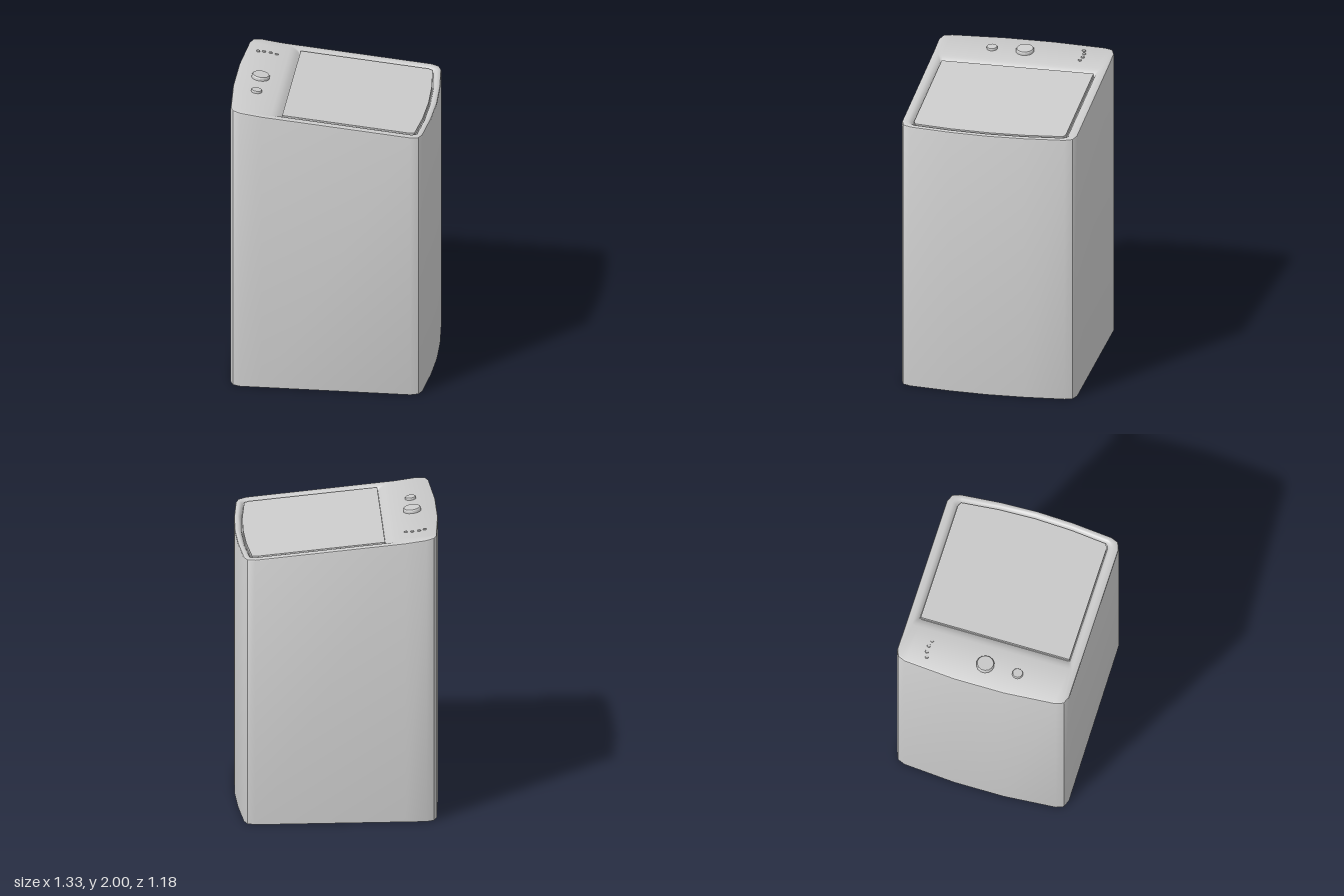
import * as THREE from 'three';
import { toCreasedNormals } from 'three/addons/utils/BufferGeometryUtils.js';

// Height of the sloping top: flat edge, steeper control strip, gentle lid slope
function topY(x) {
  if (x < -0.62) return 1.985;
  if (x < -0.43) return 1.985 - (x + 0.62) * 0.14;
  return 1.958 - (x + 0.43) * 0.097;
}

// Outlines as [x, z], given for the +z half and mirrored to a closed loop
const mirror = half => half.concat(half.slice(1, -1).reverse().map(([x, z]) => [x, -z]));
const outer = mirror([[-0.666, 0], [-0.666, 0.17], [-0.64, 0.52], [-0.62, 0.57], [-0.57, 0.59], [-0.43, 0.59],
  [0.56, 0.59], [0.61, 0.57], [0.63, 0.52], [0.655, 0.25], [0.664, 0]]);
const opening = mirror([[-0.37, 0], [-0.37, 0.17], [-0.37, 0.5], [-0.37, 0.53], [-0.368, 0.545], [-0.36, 0.55],
  [0.56, 0.55], [0.59, 0.535], [0.607, 0.505], [0.631, 0.25], [0.64, 0]]);
const recess = mirror([[-0.305, 0], [-0.305, 0.17], [-0.305, 0.48], [-0.305, 0.505], [-0.304, 0.514], [-0.3, 0.516],
  [0.547, 0.516], [0.567, 0.51], [0.58, 0.5], [0.606, 0.25], [0.614, 0]]);
const lidEdge = mirror([[-0.3, 0], [-0.3, 0.511], [0.545, 0.511], [0.575, 0.497], [0.6, 0.25], [0.609, 0]]);

// Ring of points from an outline; drop is the distance below the sloping top
const ring = (outline, drop, inset = 0) => outline.map(([x, z]) => {
  const px = x * (1 - inset / 0.66), pz = z * (1 - inset / 0.59);
  return [px, topY(x) - drop, pz];
});
const blend = (a, b, t) => a.map(([x, z], i) => [x + (b[i][0] - x) * t, z + (b[i][1] - z) * t]);

// Skin over successive rings, closed by a fan at both ends
function loft(rings) {
  const pos = [];
  const tri = (...p) => p.forEach(v => pos.push(...v));
  const n = rings[0].length;
  const centre = r => [0, 1, 2].map(k => (r[0][k] + r[(n >> 1)][k]) / 2);
  const last = rings[rings.length - 1];
  for (let i = 0; i < n; i++) {
    const j = (i + 1) % n;
    for (let k = 0; k + 1 < rings.length; k++) {
      const a = rings[k], b = rings[k + 1];
      tri(a[i], a[j], b[j]);
      tri(a[i], b[j], b[i]);
    }
    tri(centre(rings[0]), rings[0][j], rings[0][i]);
    tri(centre(last), last[i], last[j]);
  }
  const g = new THREE.BufferGeometry();
  g.setAttribute('position', new THREE.Float32BufferAttribute(pos, 3));
  return toCreasedNormals(g, 0.62);
}

export function createModel() {
  const model = new THREE.Group();
  const material = new THREE.MeshStandardMaterial({ color: 0xcccccc });
  const add = (name, geometry) => {
    const mesh = new THREE.Mesh(geometry, material);
    mesh.name = name;
    model.add(mesh);
    return mesh;
  };

  // Cabinet with softened top edge and a sunken well for the lid
  add('body', loft([
    outer.map(([x, z]) => [x, 0, z]),
    ring(outer, 0.012),
    ring(outer, 0.004, 0.003),
    ring(outer, 0, 0.011),
    ring(opening, 0),
    ring(blend(opening, recess, 0.35), 0.004),
    ring(blend(opening, recess, 0.7), 0.014),
    ring(recess, 0.03),
  ]));

  // Lid panel standing in the well
  add('lid', loft([ring(lidEdge, 0.035), ring(lidEdge, 0.006)]));

  // Round controls, tilted with the control strip
  const button = (name, x, z, r, h, sides) => {
    const profile = [[0, -0.01], [r, -0.01], [r, h * 0.65], [r * 0.9, h], [0, h]].map(p => new THREE.Vector2(...p));
    const b = add(name, toCreasedNormals(new THREE.LatheGeometry(profile, sides), 0.7));
    b.position.set(x, topY(x), z);
    b.rotation.z = -0.13;
  };
  button('largeButton', -0.505, -0.005, 0.06, 0.023, 14);
  button('smallButton', -0.505, 0.217, 0.036, 0.014, 14);
  [[-0.567, -0.388], [-0.53, -0.398], [-0.486, -0.398], [-0.444, -0.388]]
    .forEach(([x, z], i) => button('indicator' + (i + 1), x, z, 0.012, 0.007, 10));

  return model;
}
